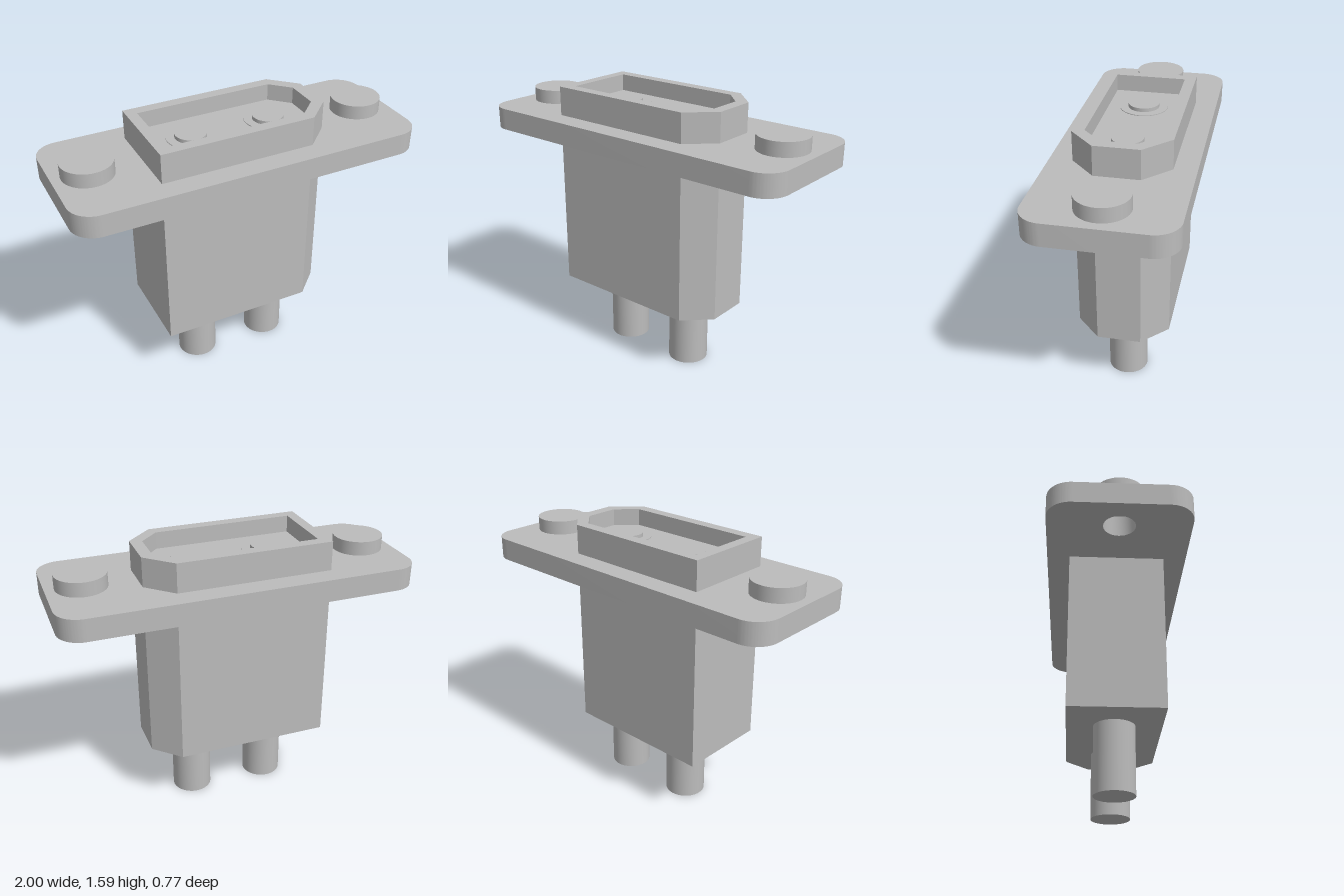
import * as THREE from 'three';
import { toCreasedNormals } from 'three/addons/utils/BufferGeometryUtils.js';

const grey = new THREE.MeshStandardMaterial({ color: 0xbcbcbc });
grey.name = 'grey';

export function createModel() {
  const group = new THREE.Group();

  const add = (name, geometry) => {
    const mesh = new THREE.Mesh(geometry, grey);
    mesh.name = name;
    group.add(mesh);
  };

  // Upright prism between two heights
  const prism = (name, shape, y0, y1) => {
    const geo = new THREE.ExtrudeGeometry(shape, { depth: y1 - y0, bevelEnabled: false, curveSegments: 16 });
    geo.rotateX(-Math.PI / 2).translate(0, y0, 0);
    add(name, toCreasedNormals(geo, 0.5));
  };

  const cylinder = (name, r, x, y0, y1) => {
    const geo = new THREE.CylinderGeometry(r, r, y1 - y0, 48);
    add(name, geo.translate(x, (y0 + y1) / 2, 0));
  };

  // Rectangle with its two +x corners cut off
  const keyed = (x0, x1, xCut, z, zCut) => [
    [x0, -z], [xCut, -z], [x1, -zCut], [x1, zCut], [xCut, z], [x0, z],
  ].map(([x, y]) => new THREE.Vector2(x, y));

  // Housing with a shallow open pocket on top
  const outer = keyed(-0.51, 0.51, 0.365, 0.263, 0.123);
  const floorY = 1.49;
  prism('housing', new THREE.Shape(outer), 0.39, floorY);
  const rim = new THREE.Shape(outer);
  rim.holes.push(new THREE.Path(keyed(-0.45, 0.445, 0.34, 0.2, 0.097).reverse()));
  prism('pocketRim', rim, floorY, 1.585);

  // Rounded mounting flange with screw holes
  const w = 1, d = 0.387, r = 0.135;
  const flange = new THREE.Shape();
  flange.absarc(w - r, d - r, r, 0, Math.PI / 2);
  flange.absarc(-w + r, d - r, r, Math.PI / 2, Math.PI);
  flange.absarc(-w + r, -d + r, r, Math.PI, Math.PI * 1.5);
  flange.absarc(w - r, -d + r, r, Math.PI * 1.5, Math.PI * 2);
  flange.closePath();
  for (const s of [-1, 1]) {
    flange.holes.push(new THREE.Path().absarc(s * 0.807, 0, 0.087, 0, Math.PI * 2, true));
  }
  prism('flange', flange, 1.295, 1.42);

  // Screw heads, cable pins and contacts, mirrored
  for (const s of [-1, 1]) {
    cylinder('screwHead', 0.141, s * 0.807, 1.42, 1.5);
    cylinder('pin', 0.115, s * 0.232, 0, 0.4);
    cylinder('contactCollar', 0.135, s * 0.232, floorY - 0.02, floorY + 0.004);
    cylinder('contactTip', 0.087, s * 0.232, floorY - 0.02, floorY + 0.025);
  }
  return group;
}
